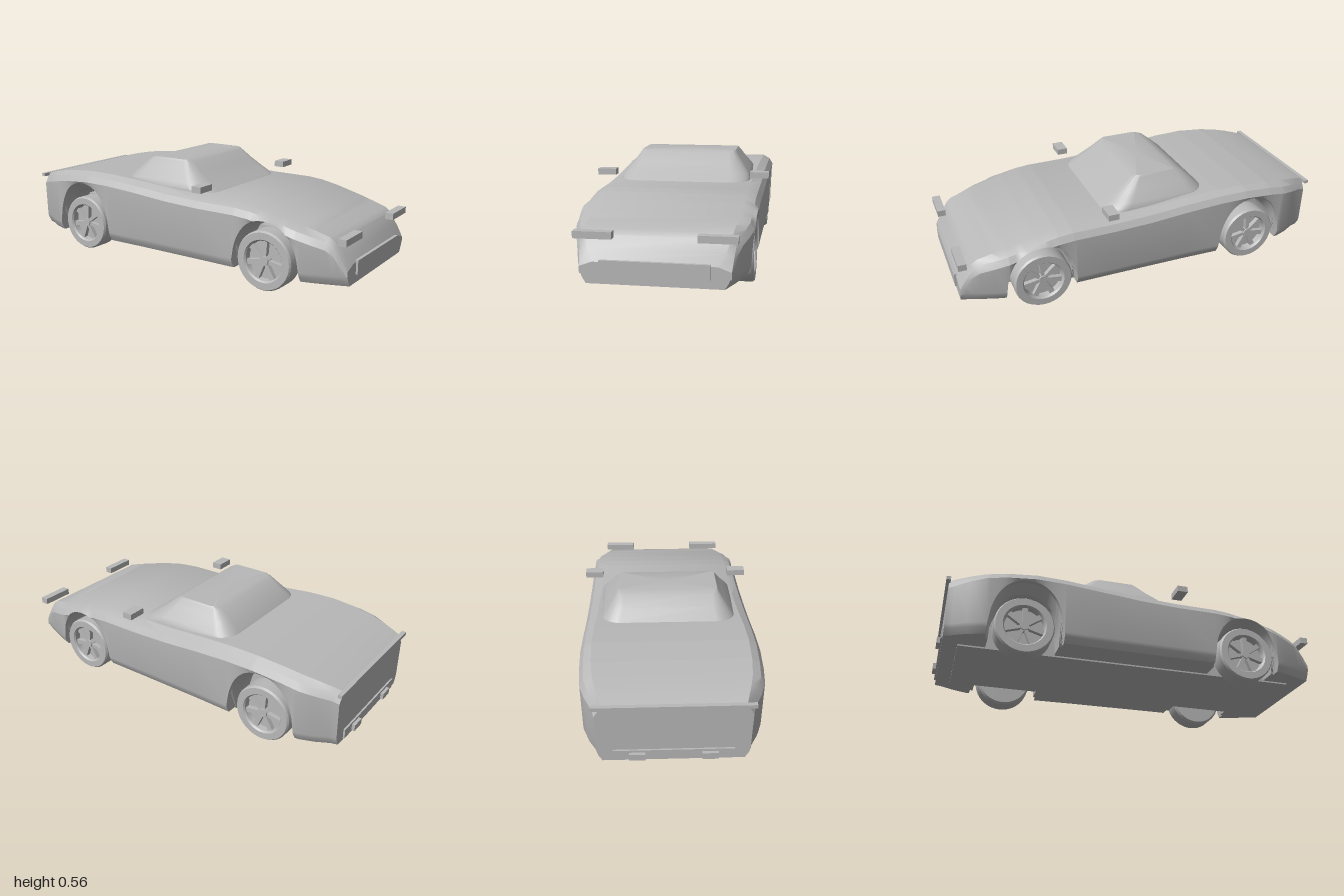
import * as THREE from 'three';
import { toCreasedNormals } from 'three/addons/utils/BufferGeometryUtils.js';

const grey = new THREE.MeshStandardMaterial({ color: 0xb8b8b8 });
grey.name = 'plain grey';

function add(parent, name, geometry, x = 0, y = 0, z = 0) {
  const mesh = new THREE.Mesh(geometry, grey);
  mesh.name = name;
  mesh.position.set(x, y, z);
  parent.add(mesh);
  return mesh;
}

// box given by its limits on each axis
function block(parent, name, [x0, x1], [y0, y1], [z0, z1]) {
  return add(parent, name, new THREE.BoxGeometry(x1 - x0, y1 - y0, z1 - z0),
    (x0 + x1) / 2, (y0 + y1) / 2, (z0 + z1) / 2);
}

// skin a list of rings (clockwise seen from the first end) and cap both ends
function loft(rings, crease) {
  const n = rings[0].length, pos = rings.flat(2), index = [];
  for (let i = 0; i < rings.length - 1; i++) {
    for (let j = 0; j < n; j++) {
      const k = (j + 1) % n, a = i * n + j, b = i * n + k;
      index.push(a, b, b + n, a, b + n, a + n);
    }
  }
  [0, rings.length - 1].forEach((r, end) => {
    const c = pos.length / 3;
    for (let axis = 0; axis < 3; axis++) {
      pos.push(rings[r].reduce((s, p) => s + p[axis], 0) / n);
    }
    for (let j = 0; j < n; j++) {
      const a = r * n + j, b = r * n + (j + 1) % n;
      if (end) index.push(c, a, b); else index.push(c, b, a);
    }
  });
  const g = new THREE.BufferGeometry();
  g.setAttribute('position', new THREE.Float32BufferAttribute(pos, 3));
  g.setIndex(index);
  return toCreasedNormals(g, crease);
}

// body outline: z, top height, half width, half width of the flat top
const outline = [
  [0.99, 0.18, 0.34, 0.28], [0.96, 0.23, 0.352, 0.31], [0.92, 0.287, 0.367, 0.33],
  [0.89, 0.308, 0.378, 0.335], [0.82, 0.328, 0.402, 0.342], [0.75, 0.347, 0.42, 0.35],
  [0.6, 0.385, 0.425, 0.355], [0.5, 0.404, 0.426, 0.358], [0.42, 0.411, 0.427, 0.36],
  [0.2, 0.412, 0.428, 0.362], [0, 0.42, 0.43, 0.365], [-0.2, 0.436, 0.432, 0.37],
  [-0.4, 0.45, 0.438, 0.38], [-0.55, 0.452, 0.442, 0.385], [-0.7, 0.44, 0.438, 0.38],
  [-0.8, 0.424, 0.43, 0.37], [-0.87, 0.41, 0.405, 0.355], [-0.94, 0.392, 0.368, 0.335],
  [-0.975, 0.38, 0.358, 0.325],
];

function outlineAt(z) {
  let i = 0;
  while (i < outline.length - 2 && z < outline[i + 1][0]) i++;
  const a = outline[i], b = outline[i + 1], t = (z - a[0]) / (b[0] - a[0]);
  return a.map((v, k) => v + (b[k] - v) * t);
}

const FLOOR = 0.08;
const arches = [
  { z: 0.59, outer: 0.352, inner: 0.34, half: 0.183 },
  { z: -0.59, outer: 0.385, inner: 0.345, half: 0.19 },
];

// underside height, rising over the wheels
function archHeight(z, side) {
  for (const a of arches) {
    const half = side === 'outer' ? a.half : a.half - 0.015;
    const t = Math.abs(z - a.z) / half;
    if (t < 1) return FLOOR + (a[side] - FLOOR) * Math.pow(1 - Math.pow(t, 2.3), 1 / 2.3);
  }
  return FLOOR;
}

function bodyRing(z) {
  const [, top, w, flat] = outlineAt(z);
  const low = archHeight(z, 'outer'), inner = archHeight(z, 'inner');
  const nose = THREE.MathUtils.clamp((0.99 - z) / 0.1, 0, 1);
  const right = [
    [flat, top],
    [w - 0.02 * nose, Math.max(top - 0.022, low)],
    [w, Math.max(top - 0.055, low)],
    [w - 0.006, Math.max(0.13, low)],
    [w - 0.012, Math.max(0.11, low)],
    [w - 0.03, low],
    [w - 0.08, inner],
  ];
  const left = right.map(([x, y]) => [-x, y]).reverse();
  return [...right, ...left].map(([x, y]) => [x, y, z]);
}

function bodyGeometry() {
  const stations = outline.map((o) => o[0]);
  for (const a of arches) {
    for (const half of [a.half, a.half - 0.015]) {
      for (let i = 0; i <= 20; i++) stations.push(a.z + half * Math.cos(Math.PI * i / 20));
    }
  }
  const sorted = stations.sort((a, b) => b - a).filter((z, i, s) => !i || s[i - 1] - z > 1e-4);
  return loft(sorted.map(bodyRing), 0.45);
}

// rounded rectangle at one height of the cabin
function cabinRing([y, half, front, back, radius]) {
  const ring = [], corners = [[1, 1], [-1, 1], [-1, -1], [1, -1]];
  corners.forEach(([sx, sz], q) => {
    const cx = sx * (half - radius), cz = sz > 0 ? front - radius : back + radius;
    for (let i = 0; i <= 6; i++) {
      const a = (q + i / 6) * Math.PI / 2;
      ring.push([cx + radius * Math.cos(a), y, cz + radius * Math.sin(a)]);
    }
  });
  return ring;
}

function makeWheel() {
  const wheel = new THREE.Group();
  wheel.name = 'wheel';
  const profile = [
    [0, -0.055], [0.14, -0.055], [0.15, -0.044], [0.15, 0.044], [0.143, 0.055],
    [0.108, 0.055], [0.101, 0.046], [0.098, 0.015], [0, 0.015],
  ].map(([r, h]) => new THREE.Vector2(r, h));
  const tyre = toCreasedNormals(new THREE.LatheGeometry(profile, 40), 0.5);
  add(wheel, 'tyre', tyre.rotateZ(-Math.PI / 2));

  // tapered spokes around a small hub
  const spoke = new THREE.Shape([[-0.008, 0.015], [0.008, 0.015], [0.014, 0.1], [-0.014, 0.1]]
    .map(([x, y]) => new THREE.Vector2(x, y)));
  const spokeGeometry = new THREE.ExtrudeGeometry(spoke, { depth: 0.025, bevelEnabled: false });
  spokeGeometry.rotateY(Math.PI / 2);
  for (let i = 0; i < 7; i++) {
    add(wheel, 'spoke', spokeGeometry, 0.014).rotation.x = i * Math.PI * 2 / 7;
  }
  const hub = new THREE.CylinderGeometry(0.022, 0.026, 0.03, 20).rotateZ(-Math.PI / 2);
  add(wheel, 'hub', hub, 0.03);
  return wheel;
}

export function createModel() {
  const car = new THREE.Group();
  car.name = 'sports car';

  add(car, 'body', bodyGeometry());
  block(car, 'chassis', [-0.25, 0.25], [0.072, 0.28], [-0.9, 0.9]);

  // cabin: height, half width, front z, back z, corner radius
  const cabin = [
    [0.558, 0.26, 0.015, -0.2, 0.02], [0.547, 0.267, 0.037, -0.233, 0.035],
    [0.5, 0.3, 0.095, -0.29, 0.065], [0.45, 0.338, 0.16, -0.345, 0.09],
    [0.425, 0.351, 0.2, -0.362, 0.1], [0.4, 0.352, 0.235, -0.366, 0.11],
  ];
  add(car, 'cabin', loft(cabin.map(cabinRing), 0.5));

  block(car, 'front grille', [-0.247, 0.247], [0.12, 0.19], [0.97, 1]);
  block(car, 'rear lip', [-0.37, 0.37], [0.367, 0.385], [-0.99, -0.968]);
  block(car, 'rear bumper', [-0.28, 0.28], [0.09, 0.14], [-0.984, -0.96]);

  for (const side of [1, -1]) {
    const span = (a, b) => (side > 0 ? [a, b] : [-b, -a]);
    block(car, 'headlight', span(0.19, 0.367), [0.283, 0.316], [0.948, 0.99]);
    block(car, 'mirror', span(0.358, 0.456), [0.444, 0.476], [0.192, 0.248]);
    block(car, 'exhaust', span(0.13, 0.205), [0.095, 0.128], [-1, -0.97]);
    for (const z of [0.585, -0.597]) {
      const wheel = makeWheel();
      wheel.position.set(side * 0.36, 0.15, z);
      if (side < 0) wheel.rotation.y = Math.PI;
      car.add(wheel);
    }
  }
  return car;
}
